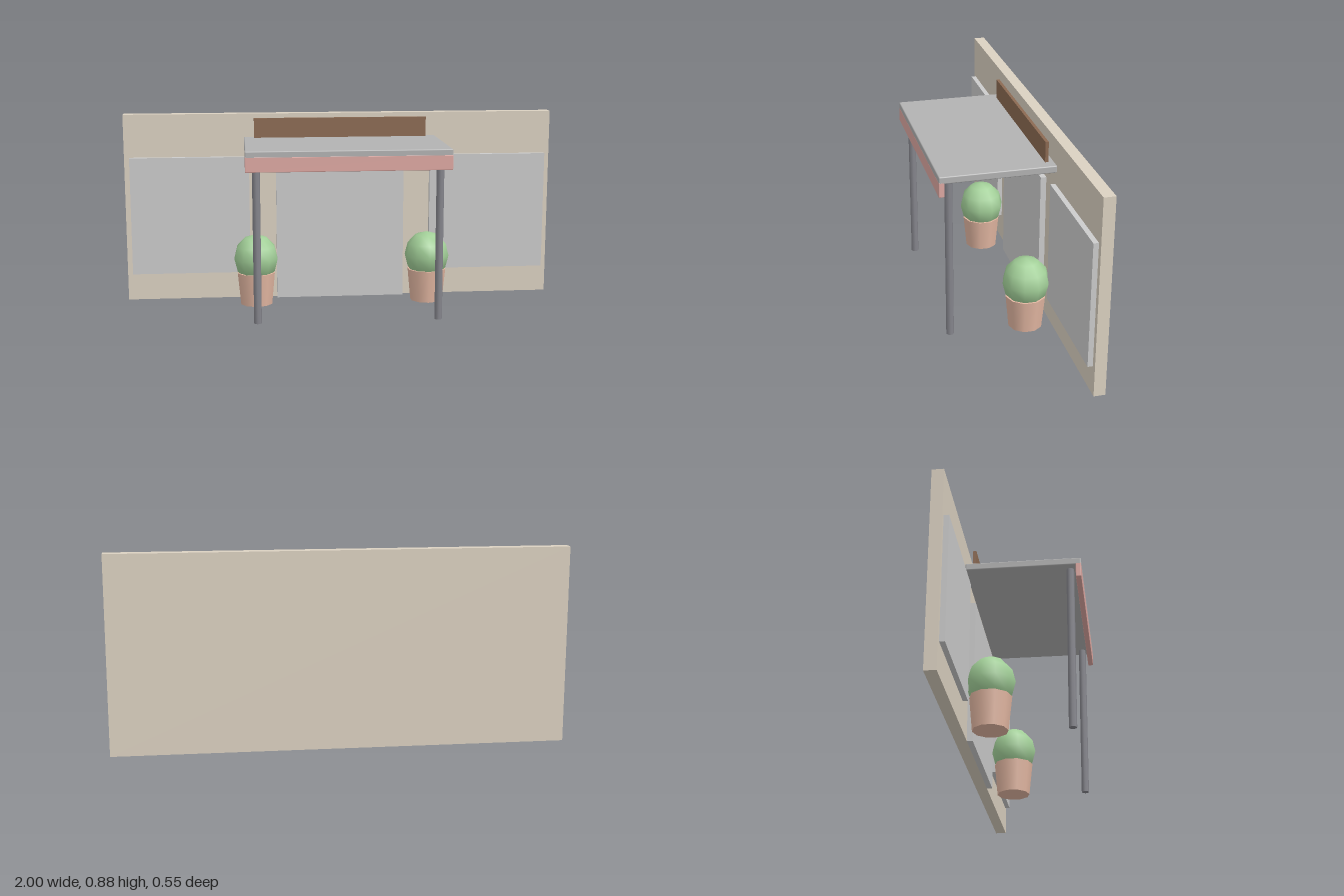
import * as THREE from 'three';
import { RoundedBoxGeometry } from 'three/addons/geometries/RoundedBoxGeometry.js';

const mat = (color) => new THREE.MeshStandardMaterial({ color });

export function createModel() {
  const group = new THREE.Group();
  const grey = mat(0xcccccc);
  const cream = mat(0xdbd1c1);
  const slate = mat(0xb2b2b2);
  const pink = mat(0xdea8a2);
  const brown = mat(0x8c6a52);
  const steel = mat(0x85858c);
  const clay = mat(0xe3b7a2);
  const leaf = mat(0xa2cf98);

  const add = (name, geometry, material, x, y, z) => {
    const mesh = new THREE.Mesh(geometry, material);
    mesh.name = name;
    mesh.position.set(x, y, z);
    group.add(mesh);
    return mesh;
  };

  // Block given by its limits on each axis; a radius rounds its edges
  const block = (name, material, [x0, x1], [y0, y1], [z0, z1], radius = 0) => {
    const size = [x1 - x0, y1 - y0, z1 - z0];
    const geometry = radius
      ? new RoundedBoxGeometry(...size, 2, radius)
      : new THREE.BoxGeometry(...size);
    return add(name, geometry, material, (x0 + x1) / 2, (y0 + y1) / 2, (z0 + z1) / 2);
  };

  // Facade and door
  block('wall', cream, [-1, 1], [0, 0.875], [-0.275, -0.225]);
  block('door', grey, [-0.3, 0.3], [0, 0.652], [-0.225, -0.2]);

  // Canopy with its front valance and the sign board standing on it
  block('canopy', slate, [-0.447, 0.447], [0.735, 0.767], [-0.225, 0.275], 0.005);
  block('valance', pink, [-0.447, 0.447], [0.676, 0.742], [0.252, 0.2755], 0.003);
  block('signBoard', brown, [-0.4, 0.4], [0.767, 0.857], [-0.2, -0.186]);

  // Parts mirrored on both sides
  for (const [side, s] of [['left', 1], ['right', -1]]) {
    const inner = 0.425 * s, outer = 0.975 * s;
    block(side + 'Window', grey, [Math.min(inner, outer), Math.max(inner, outer)],
      [0.127, 0.676], [-0.225, -0.203]);

    add(side + 'Post', new THREE.CylinderGeometry(0.017, 0.017, 0.737, 8), steel,
      0.4 * s, 0.3685, 0.226);

    add(side + 'Pot', new THREE.CylinderGeometry(0.09, 0.0755, 0.15, 10), clay,
      0.4 * s, 0.075, -0.1125);

    const bush = add(side + 'Bush', new THREE.SphereGeometry(0.104, 10, 6), leaf,
      0.4 * s, 0.215, -0.1125);
    bush.rotation.y = Math.PI / 2;
    bush.scale.y = 1.08;
  }

  return group;
}
